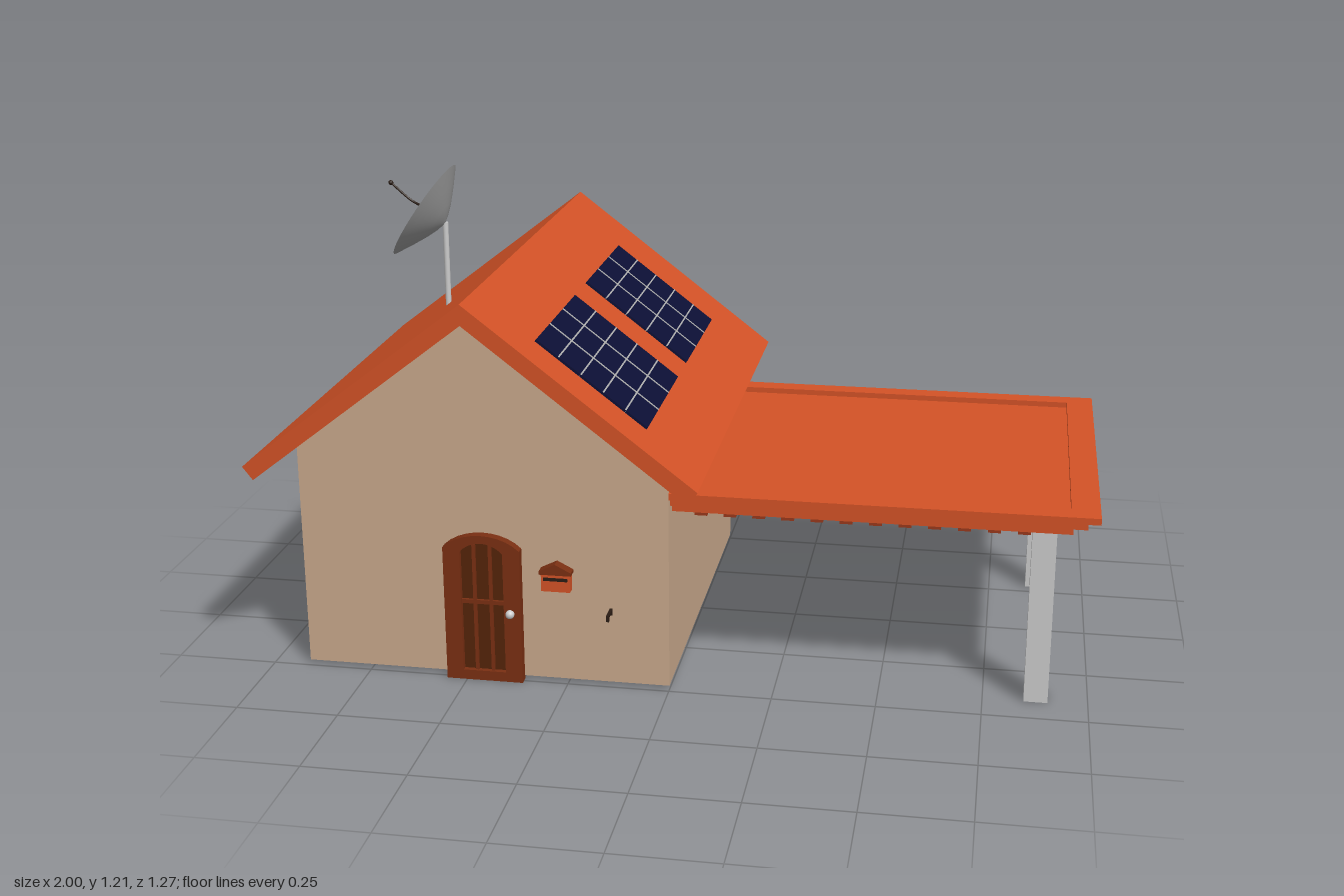
import * as THREE from 'three';

const mat = (color, extra = {}) => new THREE.MeshStandardMaterial({ color, ...extra });
const M = {
  wall: mat(0xc9a98c), roof: mat(0xd35226), wood: mat(0x7a2f12), darkWood: mat(0x552409),
  beam: mat(0x98381a), grey: mat(0xcccccc), dish: mat(0x999999, { side: THREE.DoubleSide }),
  cell: mat(0x0c0f35), line: mat(0xaaaaaa), glass: mat(0x0d7085), black: mat(0x2a1c14),
};

function add(parent, name, geometry, material, x = 0, y = 0, z = 0) {
  const mesh = new THREE.Mesh(geometry, material);
  mesh.name = name;
  mesh.position.set(x, y, z);
  parent.add(mesh);
  return mesh;
}

// Box given by its two extreme corners
function box(parent, name, material, [x0, x1], [y0, y1], [z0, z1]) {
  return add(parent, name, new THREE.BoxGeometry(x1 - x0, y1 - y0, z1 - z0), material,
    (x0 + x1) / 2, (y0 + y1) / 2, (z0 + z1) / 2);
}

function group(parent, name) {
  const g = new THREE.Group();
  g.name = name;
  parent.add(g);
  return g;
}

const polygon = (pts) => new THREE.Shape(pts.map(([x, y]) => new THREE.Vector2(x, y)));
const extrude = (shape, depth) =>
  new THREE.ExtrudeGeometry(shape, { depth, bevelEnabled: false, curveSegments: 10 });

// Upright panel with a shallow curved top
function archShape(x0, x1, y0, ySide, yTop) {
  const s = new THREE.Shape();
  const w = x1 - x0;
  s.moveTo(x0, y0);
  s.lineTo(x1, y0);
  s.lineTo(x1, ySide);
  s.bezierCurveTo(x1 - w * 0.25, yTop + (yTop - ySide) * 0.33, x0 + w * 0.25, yTop + (yTop - ySide) * 0.33, x0, ySide);
  return s;
}

const RIDGE_X = -0.455;
const SLOPE = Math.atan2(0.42, 0.545);

function buildHouse(root) {
  const house = group(root, 'house');
  const gable = polygon([[-0.91, 0.01], [0, 0.01], [0, 0.575], [RIDGE_X, 0.93], [-0.91, 0.575]]);
  add(house, 'walls', extrude(gable, 0.995), M.wall, 0, 0, -0.505);
  const chevron = polygon([[-1, 0.56], [-0.975, 0.528], [RIDGE_X, 0.93], [0.065, 0.528], [0.09, 0.56], [RIDGE_X, 0.98]]);
  add(house, 'roof', extrude(chevron, 1.245), M.roof, 0, 0, -0.632);
}

function buildDoor(root) {
  const door = group(root, 'door');
  const frame = archShape(-0.55, -0.36, 0, 0.345, 0.38);
  frame.holes.push(archShape(-0.508, -0.402, 0.025, 0.335, 0.36));
  add(door, 'doorFrame', extrude(frame, 0.025), M.wood, 0, 0, 0.488);
  add(door, 'doorPanel', extrude(archShape(-0.515, -0.395, 0.02, 0.337, 0.365), 0.012), M.darkWood, 0, 0, 0.488);
  for (const x of [-0.475, -0.435])
    box(door, 'doorMullion', M.wood, [x - 0.004, x + 0.004], [0.025, 0.355], [0.49, 0.507]);
  box(door, 'doorRail', M.wood, [-0.51, -0.4], [0.2, 0.21], [0.49, 0.507]);
  add(door, 'doorKnob', new THREE.SphereGeometry(0.011, 16, 12), M.grey, -0.386, 0.182, 0.517);
}

function buildWallFittings(root) {
  // Letter box with a small pitched lid
  const letterBox = group(root, 'letterBox');
  box(letterBox, 'letterBoxBody', M.roof, [-0.308, -0.237], [0.247, 0.3], [0.488, 0.512]);
  add(letterBox, 'letterBoxLid', extrude(polygon([[-0.312, 0.292], [-0.233, 0.292], [-0.233, 0.3], [-0.272, 0.32], [-0.312, 0.3]]), 0.03), M.wood, 0, 0, 0.488);
  box(letterBox, 'letterSlot', M.black, [-0.302, -0.243], [0.275, 0.283], [0.49, 0.514]);

  // Loose pull bar standing off the wall
  const handle = group(root, 'pullBar');
  box(handle, 'bar', M.black, [-0.123, -0.116], [0.243, 0.25], [0.592, 0.636]);
  for (const z of [0.592, 0.63])
    box(handle, 'barEnd', M.black, [-0.123, -0.116], [0.235, 0.248], [z, z + 0.006]);

  // Side window, two by two panes
  const win = group(root, 'sideWindow');
  const X = [-0.93, -0.905];
  box(win, 'glass', M.glass, [-0.917, -0.905], [0.225, 0.4], [-0.025, 0.165]);
  for (const y of [0.215, 0.302, 0.39])
    box(win, 'windowRail', M.wood, X, [y, y + 0.02], [-0.035, 0.175]);
  for (const z of [-0.035, 0.06, 0.155])
    box(win, 'windowStile', M.wood, X, [0.215, 0.41], [z, z + 0.02]);
}

function buildSolarPanels(root) {
  const L = 0.33, W = 0.405;
  for (const z of [0.2975, -0.2425]) {
    const panel = group(root, 'solarPanel');
    panel.position.set(-0.18, 0.768, z);
    panel.rotation.z = -SLOPE;
    add(panel, 'solarCells', new THREE.BoxGeometry(L, 0.012, W), M.cell);
    for (let i = 1; i < 5; i++)
      add(panel, 'rowLine', new THREE.BoxGeometry(0.004, 0.014, W), M.line, (i / 5 - 0.5) * L);
    for (let i = 1; i < 3; i++)
      add(panel, 'columnLine', new THREE.BoxGeometry(L, 0.0145, 0.006), M.line, 0, 0, (i / 3 - 0.5) * W);
  }
}

function buildDish(root) {
  const antenna = group(root, 'satelliteDish');
  add(antenna, 'mast', new THREE.CylinderGeometry(0.007, 0.007, 0.23, 16), M.grey, -0.607, 0.955, 0.19);
  const head = group(antenna, 'dishHead');
  head.position.set(-0.607, 1.067, 0.193);
  head.rotation.z = 0.988;
  const profile = [[0.0005, 0], [0.025, 0.007], [0.05, 0.017], [0.09, 0.037], [0.132, 0.06]];
  add(head, 'dish', new THREE.LatheGeometry(profile.map(([r, h]) => new THREE.Vector2(r, h)), 48), M.dish);
  const arm = new THREE.CatmullRomCurve3([[0, 0, 0], [0.006, 0.06, 0.006], [-0.002, 0.1, -0.006], [0.008, 0.165, 0]]
    .map((p) => new THREE.Vector3(...p)));
  add(head, 'feedArm', new THREE.TubeGeometry(arm, 24, 0.003, 8), M.black);
  add(head, 'feedTip', new THREE.SphereGeometry(0.006, 12, 8), M.black, 0.008, 0.165, 0);
}

function buildCarport(root) {
  const carport = group(root, 'carport');
  // Raised rim around a sunken top panel
  const rim = polygon([[0, -0.49], [1, -0.49], [1, 0.413], [0, 0.413]]);
  rim.holes.push(polygon([[0.06, -0.433], [0.06, 0.363], [0.933, 0.363], [0.933, -0.433]]));
  const rimMesh = add(carport, 'canopyRim', extrude(rim, 0.016), M.roof, 0, 0.491, 0);
  rimMesh.rotation.x = -Math.PI / 2;
  // Stepped tiers below
  box(carport, 'upperTier', M.roof, [0, 0.972], [0.469, 0.493], [-0.39, 0.468]);
  box(carport, 'lowerTier', M.roof, [0, 0.94], [0.446, 0.47], [-0.363, 0.443]);
  // Rafters under the canopy
  for (let i = 0; i < 12; i++) {
    const x = 0.05 + i * 0.0695;
    box(carport, 'rafter', M.beam, [x, x + 0.03], [0.428, 0.448], [-0.335, 0.415]);
  }
  for (const z of [-0.336, 0.362])
    box(carport, 'post', M.grey, [0.848, 0.905], [0, 0.448], [z, z + 0.053]);
}

export function createModel() {
  const root = new THREE.Group();
  root.name = 'houseWithCarport';
  buildHouse(root);
  buildDoor(root);
  buildWallFittings(root);
  buildSolarPanels(root);
  buildDish(root);
  buildCarport(root);
  return root;
}
